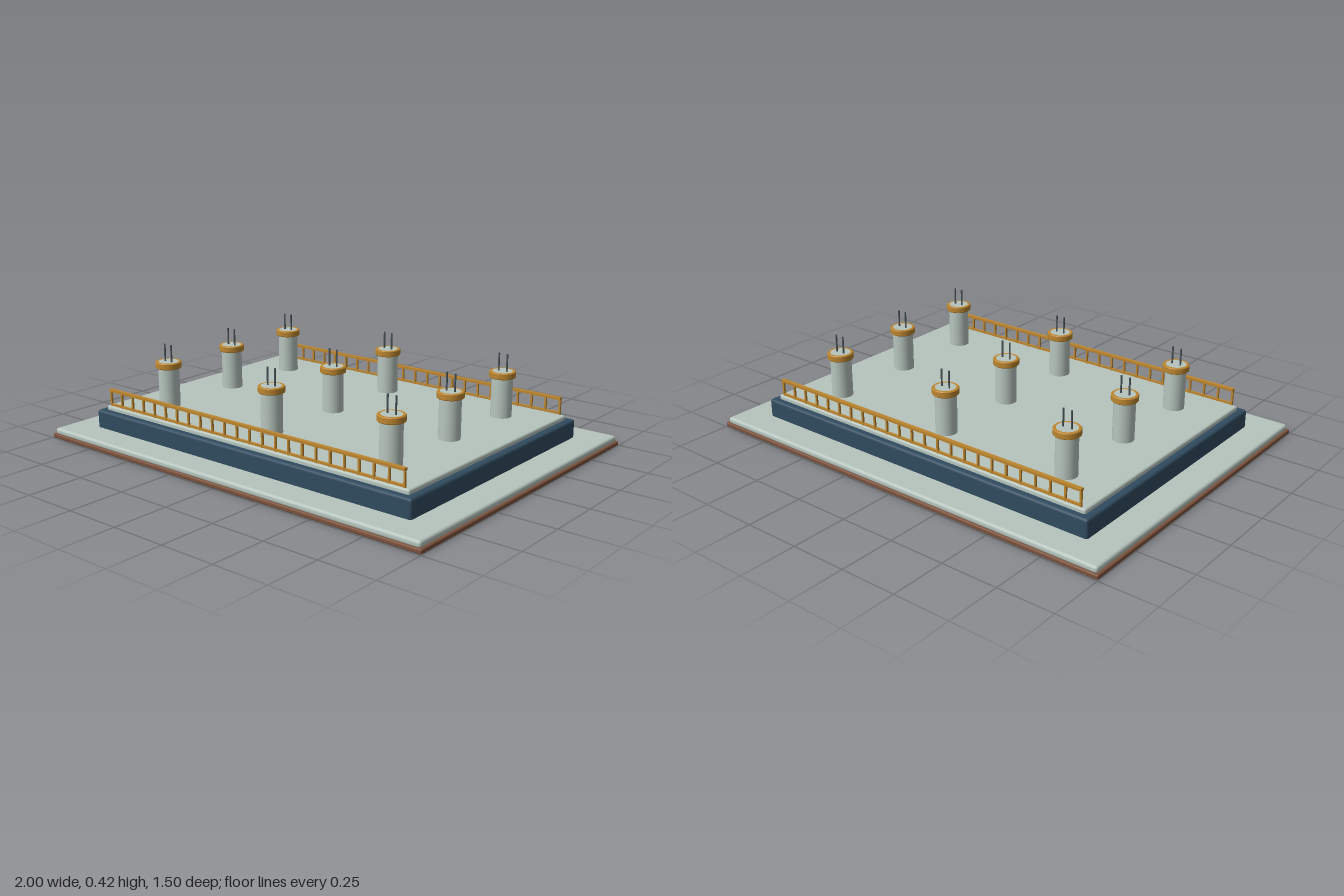
import * as THREE from 'three';
import { RoundedBoxGeometry } from 'three/addons/geometries/RoundedBoxGeometry.js';

const material = (name, color) => {
  const m = new THREE.MeshStandardMaterial({ color });
  m.name = name;
  return m;
};

export function createModel() {
  const model = new THREE.Group();
  model.name = 'pillaredPlatform';
  const brown = material('brown', 0x7c523c);
  const pale = material('pale stone', 0xb7c5be);
  const navy = material('navy', 0x304b5f);
  const gold = material('gold', 0xbd862f);
  const steel = material('dark steel', 0x4b565c);

  const add = (parent, name, geometry, mat, x = 0, y = 0, z = 0) => {
    const mesh = new THREE.Mesh(geometry, mat);
    mesh.name = name;
    mesh.position.set(x, y, z);
    parent.add(mesh);
    return mesh;
  };

  // Stacked slabs: name, width, depth, bottom, top, edge radius, material
  const slabs = [
    ['footing', 2, 1.495, 0, 0.02, 0.006, brown],
    ['lowerTerrace', 1.98, 1.48, 0.015, 0.045, 0.012, pale],
    ['plinth', 1.712, 1.216, 0.035, 0.125, 0.012, navy],
    ['deck', 1.65, 1.156, 0.115, 0.144, 0.009, pale],
  ];
  for (const [name, w, d, y0, y1, r, mat] of slabs) {
    add(model, name, new RoundedBoxGeometry(w, y1 - y0, d, 3, r), mat, 0, (y0 + y1) / 2, 0);
  }

  // Nine pillars, each with a collar and two pins
  const shaftGeo = new THREE.CylinderGeometry(0.046, 0.046, 0.204, 32);
  const collarProfile = [
    [0.044, 0.317], [0.054, 0.317], [0.057, 0.32], [0.057, 0.342],
    [0.054, 0.345], [0.044, 0.345],
  ];
  // Doubled points keep the collar edges crisp
  const collarGeo = new THREE.LatheGeometry(
    collarProfile.flatMap(([r, y]) => [new THREE.Vector2(r, y), new THREE.Vector2(r, y)]), 32);
  const pinGeo = new THREE.CylinderGeometry(0.004, 0.004, 0.08, 10);
  for (const x of [-0.61, 0, 0.61]) {
    for (const z of [-0.397, 0, 0.397]) {
      const pillar = new THREE.Group();
      pillar.name = 'pillar';
      pillar.position.set(x, 0, z);
      add(pillar, 'shaft', shaftGeo, pale, 0, 0.242, 0);
      add(pillar, 'collar', collarGeo, gold);
      for (const s of [-1, 1]) add(pillar, 'pin', pinGeo, steel, s * 0.02, 0.38, 0);
      model.add(pillar);
    }
  }

  // Railings along the front and back edges of the deck
  const topRailGeo = new THREE.BoxGeometry(1.606, 0.011, 0.018);
  const lowRailGeo = new THREE.BoxGeometry(1.606, 0.009, 0.01);
  const postGeo = new THREE.BoxGeometry(0.008, 0.07, 0.009);
  const bays = 23;
  for (const side of [-1, 1]) {
    const railing = new THREE.Group();
    railing.name = side > 0 ? 'frontRailing' : 'backRailing';
    railing.position.z = side * 0.569;
    add(railing, 'topRail', topRailGeo, gold, 0, 0.2165, 0);
    add(railing, 'lowerRail', lowRailGeo, gold, 0, 0.1515, 0);
    for (let i = 0; i <= bays; i++) {
      add(railing, 'post', postGeo, gold, -0.799 + (1.598 * i) / bays, 0.18, 0);
    }
    model.add(railing);
  }
  return model;
}
